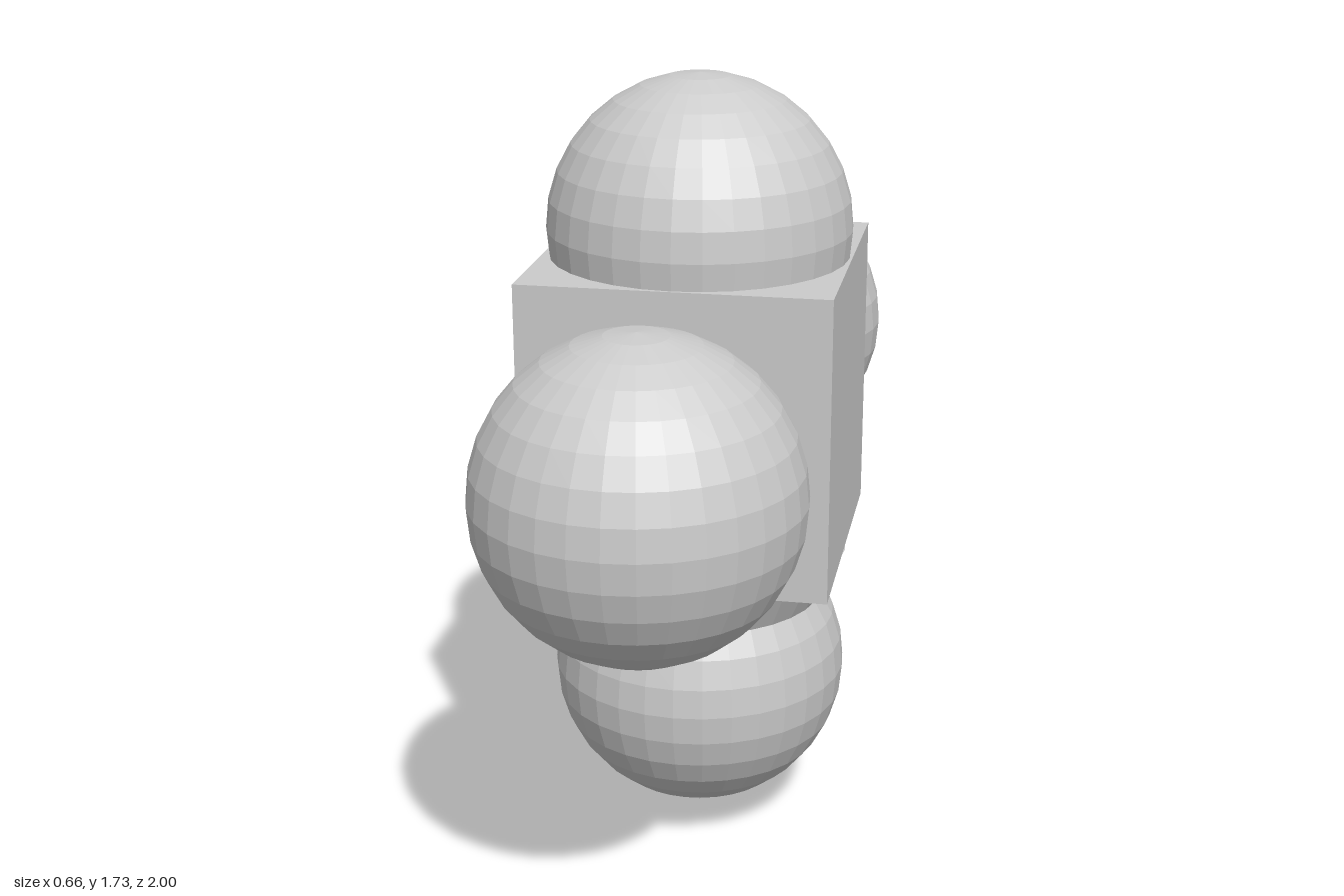
import * as THREE from 'three';

const R = 0.332; // shared radius of all the balls

export function createModel() {
  const group = new THREE.Group();
  const material = new THREE.MeshStandardMaterial({ color: 0xcccccc, flatShading: true });

  function add(name, geometry, y, z = 0) {
    const mesh = new THREE.Mesh(geometry, material);
    mesh.name = name;
    mesh.position.set(0, y, z);
    group.add(mesh);
    return mesh;
  }

  // Central cube
  add('body', new THREE.BoxGeometry(2 * R, 2 * R, 2 * R), 1.012);

  // Faceted balls above, below, in front of and behind the cube
  const balls = [
    ['topBall', 1.402, 0],
    ['bottomBall', 0.382, 0],
    ['frontBall', 1.027, 0.668],
    ['backBall', 1.01, -0.668],
  ];
  for (const [name, y, z] of balls) add(name, new THREE.SphereGeometry(R, 32, 16), y, z);

  // Upside-down cone: its rim and tip stick out of the bottom ball
  const cone = add('bottomCone', new THREE.ConeGeometry(R, 0.668, 32), 0.334);
  cone.rotation.x = Math.PI;

  return group;
}
